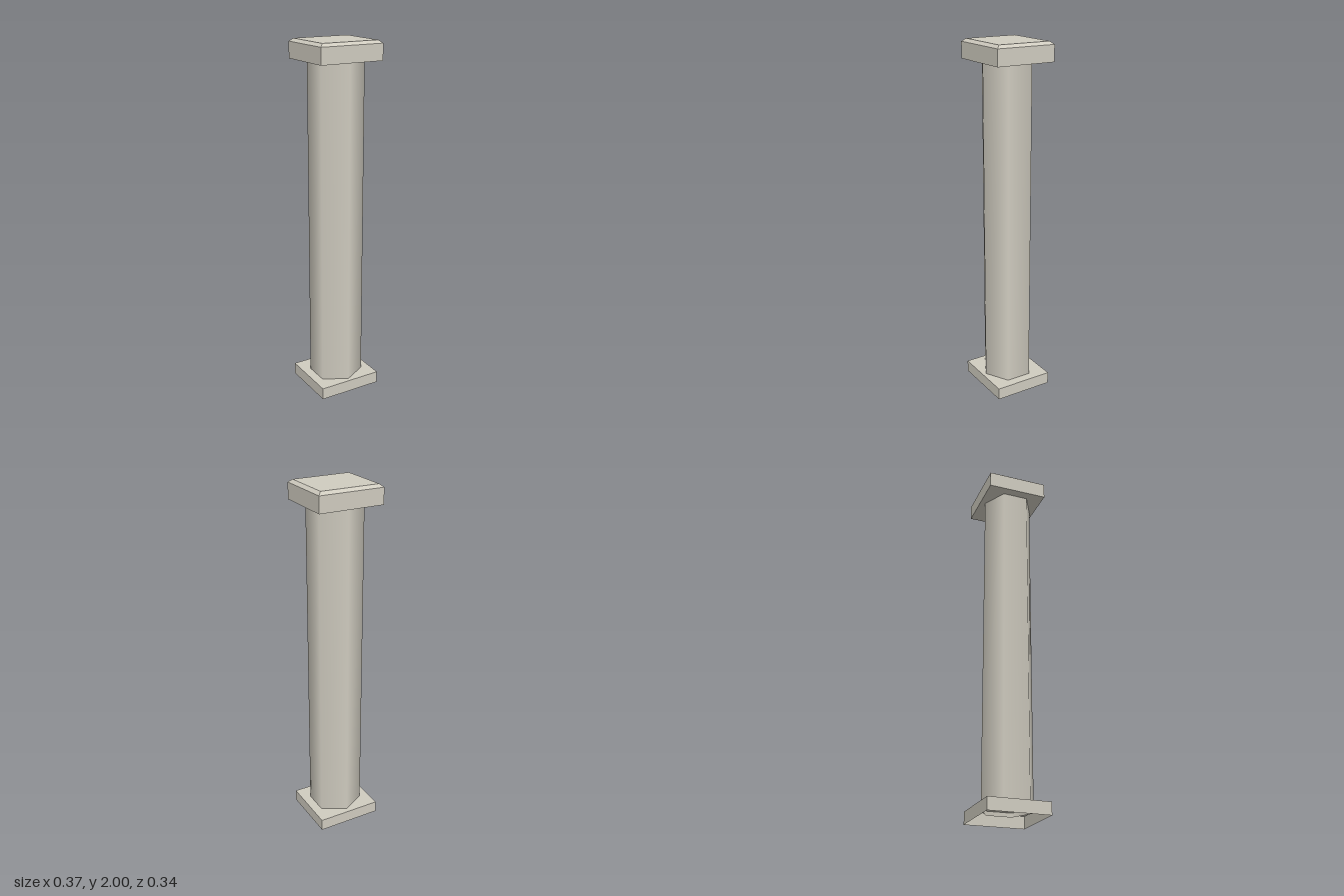
import * as THREE from 'three';

const stone = new THREE.MeshStandardMaterial({ color: 0xd0ccc0, side: THREE.DoubleSide });
stone.name = 'pale stone';

const WIDTH = 0.37, DEPTH = 0.34;

// Box whose top can be inset; skip lists the sides left out (0-5: +x, -x, +y, -y, +z, -z)
function slab(name, y0, y1, inset, skip) {
  let geo = new THREE.BoxGeometry(WIDTH, y1 - y0, DEPTH);
  geo.translate(0, (y0 + y1) / 2, 0);
  const pos = geo.attributes.position;
  for (let i = 0; i < pos.count; i++) {
    if (pos.getY(i) > (y0 + y1) / 2) {
      pos.setX(i, pos.getX(i) - Math.sign(pos.getX(i)) * inset);
      pos.setZ(i, pos.getZ(i) - Math.sign(pos.getZ(i)) * inset);
    }
  }
  const index = Array.from(geo.index.array).filter((v, i) => !skip.includes(Math.floor(i / 6)));
  geo.setIndex(index);
  geo.clearGroups();
  geo = geo.toNonIndexed();
  geo.computeVertexNormals();
  const mesh = new THREE.Mesh(geo, stone);
  mesh.name = name;
  return mesh;
}

export function createModel() {
  const column = new THREE.Group();
  column.name = 'column';

  // Hollow foot, open underneath
  column.add(slab('base', 0, 0.068, 0, [3]));

  // Six-sided smooth shaft, reaching a little into the base and open at its ends
  const shaftBottom = 0.045, shaftTop = 1.91;
  const shaftGeo = new THREE.CylinderGeometry(0.144, 0.144, shaftTop - shaftBottom, 6, 1, true);
  shaftGeo.scale(0.133 / (0.144 * Math.sin(Math.PI / 3)), 1, 1);
  const shaft = new THREE.Mesh(shaftGeo, stone);
  shaft.name = 'shaft';
  shaft.position.set(0, (shaftBottom + shaftTop) / 2, 0.004);
  column.add(shaft);

  // Capital: square block with a shallow bevelled top
  const capital = new THREE.Group();
  capital.name = 'capital';
  capital.add(slab('capitalBlock', 1.895, 1.984, 0, [2]));
  capital.add(slab('capitalBevel', 1.984, 2, 0.019, [3]));
  column.add(capital);

  return column;
}
